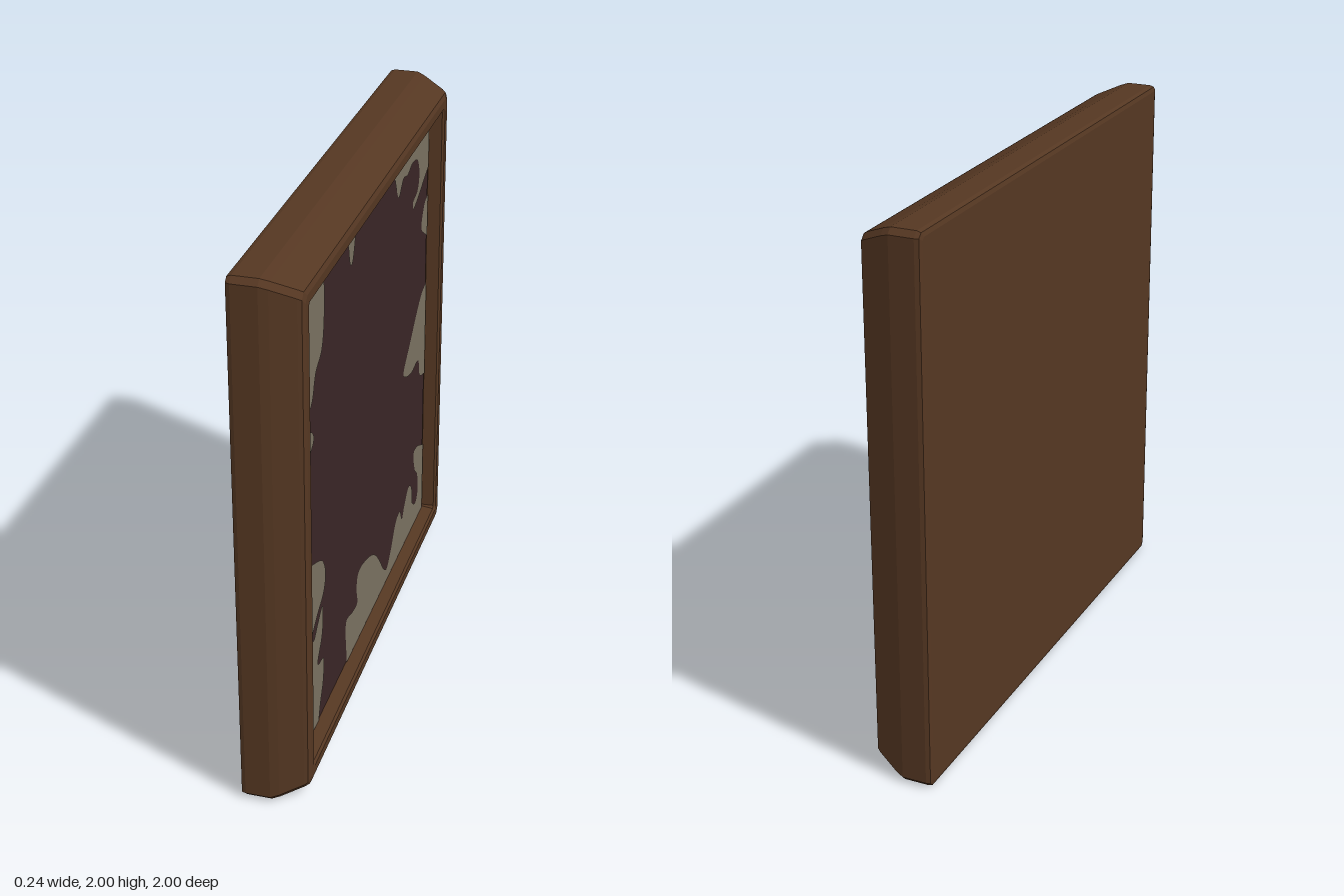
import * as THREE from 'three';

const wood = new THREE.MeshStandardMaterial({ color: 0x553722 });
wood.name = 'brown wood';
const dark = new THREE.MeshStandardMaterial({ color: 0x392526 });
dark.name = 'dark stain';
const grey = new THREE.MeshStandardMaterial({ color: 0x7a7161 });
grey.name = 'grey canvas';
wood.flatShading = true;

// Square loop with clipped corners, running from +z towards +y
function squareLoop(r, x, c) {
  const k = r - c;
  return [[r, -k], [r, k], [k, r], [-k, r], [-r, k], [-r, -k], [-k, -r], [k, -r]]
    .map(([z, y]) => [x, y + 1, z]);
}

// Sweep a profile of [half size, x, corner clip] around the x axis
function sweepSquare(profile) {
  const loops = profile.map(p => squareLoop(...p));
  const pos = [];
  for (let i = 0; i < loops.length - 1; i++) {
    for (let j = 0; j < 8; j++) {
      const n = (j + 1) % 8;
      const a = loops[i][j], b = loops[i + 1][j], c = loops[i + 1][n], d = loops[i][n];
      pos.push(...a, ...b, ...c, ...a, ...c, ...d);
    }
  }
  const g = new THREE.BufferGeometry();
  g.setAttribute('position', new THREE.Float32BufferAttribute(pos, 3));
  g.computeVertexNormals();
  return g;
}

// Flat patch: a smooth inner edge closed by straight corners; points are [-z, y]
function patchGeometry(edge, corners) {
  const curve = new THREE.CatmullRomCurve3(edge.map(([u, y]) => new THREE.Vector3(u, y, 0)));
  const pts = curve.getPoints(edge.length * 6).map(p => new THREE.Vector2(
    THREE.MathUtils.clamp(p.x, -0.88, 0.86), THREE.MathUtils.clamp(p.y, 0.125, 1.88)));
  corners.forEach(([u, y]) => pts.push(new THREE.Vector2(u, y)));
  return new THREE.ShapeGeometry(new THREE.Shape(pts)).rotateY(Math.PI / 2);
}

export function createModel() {
  const model = new THREE.Group();
  const add = (name, geometry, material, x = 0) => {
    const mesh = new THREE.Mesh(geometry, material);
    mesh.name = name;
    mesh.position.x = x;
    model.add(mesh);
  };

  // Frame with flat back, tapered rim and recessed face
  add('frame', sweepSquare([
    [0, -0.12, 0], [0.98, -0.12, 0.01], [0.995, -0.115, 0.015], [1, -0.1, 0.02],
    [1, -0.01, 0.02], [0.99, 0.02, 0.02], [0.955, 0.1, 0.02], [0.947, 0.113, 0.02],
    [0.93, 0.12, 0.02], [0.897, 0.12, 0.01], [0.887, 0.112, 0.01], [0.878, 0.062, 0.005],
    [0, 0.062, 0]
  ]), wood);

  // Dark panel set inside the frame
  const panel = new THREE.PlaneGeometry(1.74, 1.755).rotateY(Math.PI / 2);
  panel.translate(0, 1.0025, 0.01);
  add('panel', panel, dark, 0.065);

  // Bare canvas patches around the rim of the panel
  const patches = {
    topLeftPatch: [[
      [-0.56, 1.88], [-0.56, 1.69], [-0.59, 1.58], [-0.66, 1.53], [-0.70, 1.45],
      [-0.73, 1.43], [-0.88, 1.48]], [[-0.88, 1.88]]],
    leftPatch: [[
      [-0.88, 1.41], [-0.70, 1.325], [-0.69, 1.295], [-0.73, 1.265], [-0.79, 1.235],
      [-0.82, 1.13], [-0.84, 1.07], [-0.88, 1.05]], []],
    bottomLeftPatch: [[
      [-0.88, 0.915], [-0.755, 0.84], [-0.60, 0.765], [-0.565, 0.69], [-0.59, 0.63],
      [-0.675, 0.58], [-0.74, 0.525], [-0.715, 0.508], [-0.675, 0.54], [-0.61, 0.585],
      [-0.60, 0.54], [-0.615, 0.46], [-0.67, 0.375], [-0.60, 0.355], [-0.605, 0.26],
      [-0.64, 0.19], [-0.665, 0.125]], [[-0.88, 0.125]]],
    bottomPatch: [[
      [-0.30, 0.125], [-0.305, 0.315], [-0.22, 0.30], [-0.155, 0.30], [-0.165, 0.37],
      [-0.14, 0.425], [0, 0.405], [0.10, 0.355], [0.17, 0.285], [0.235, 0.205],
      [0.28, 0.18], [0.34, 0.225], [0.42, 0.315], [0.485, 0.325], [0.52, 0.27],
      [0.555, 0.31], [0.625, 0.36], [0.675, 0.325], [0.69, 0.245], [0.745, 0.215],
      [0.78, 0.255], [0.765, 0.34], [0.725, 0.38], [0.70, 0.475], [0.745, 0.48],
      [0.86, 0.43]], [[0.86, 0.125]]],
    rightPatch: [[
      [0.86, 0.765], [0.78, 0.795], [0.75, 0.875], [0.65, 0.875], [0.555, 0.90],
      [0.51, 0.935], [0.61, 1.025], [0.78, 1.155], [0.86, 1.175]], []],
    smallRightPatch: [[
      [0.86, 1.375], [0.765, 1.44], [0.765, 1.47], [0.81, 1.535], [0.86, 1.55]], []],
    topRightPatch: [[
      [0.86, 1.665], [0.625, 1.58], [0.62, 1.61], [0.69, 1.635], [0.715, 1.69],
      [0.685, 1.755], [0.61, 1.775], [0.535, 1.755], [0.475, 1.765], [0.405, 1.715],
      [0.37, 1.76], [0.315, 1.88]], [[0.86, 1.88]]],
    topWedgePatch: [[
      [-0.16, 1.88], [-0.22, 1.73], [-0.245, 1.73], [-0.285, 1.88]], []]
  };
  for (const [name, [edge, corners]] of Object.entries(patches)) {
    add(name, patchGeometry(edge, corners), grey, 0.068);
  }
  return model;
}
